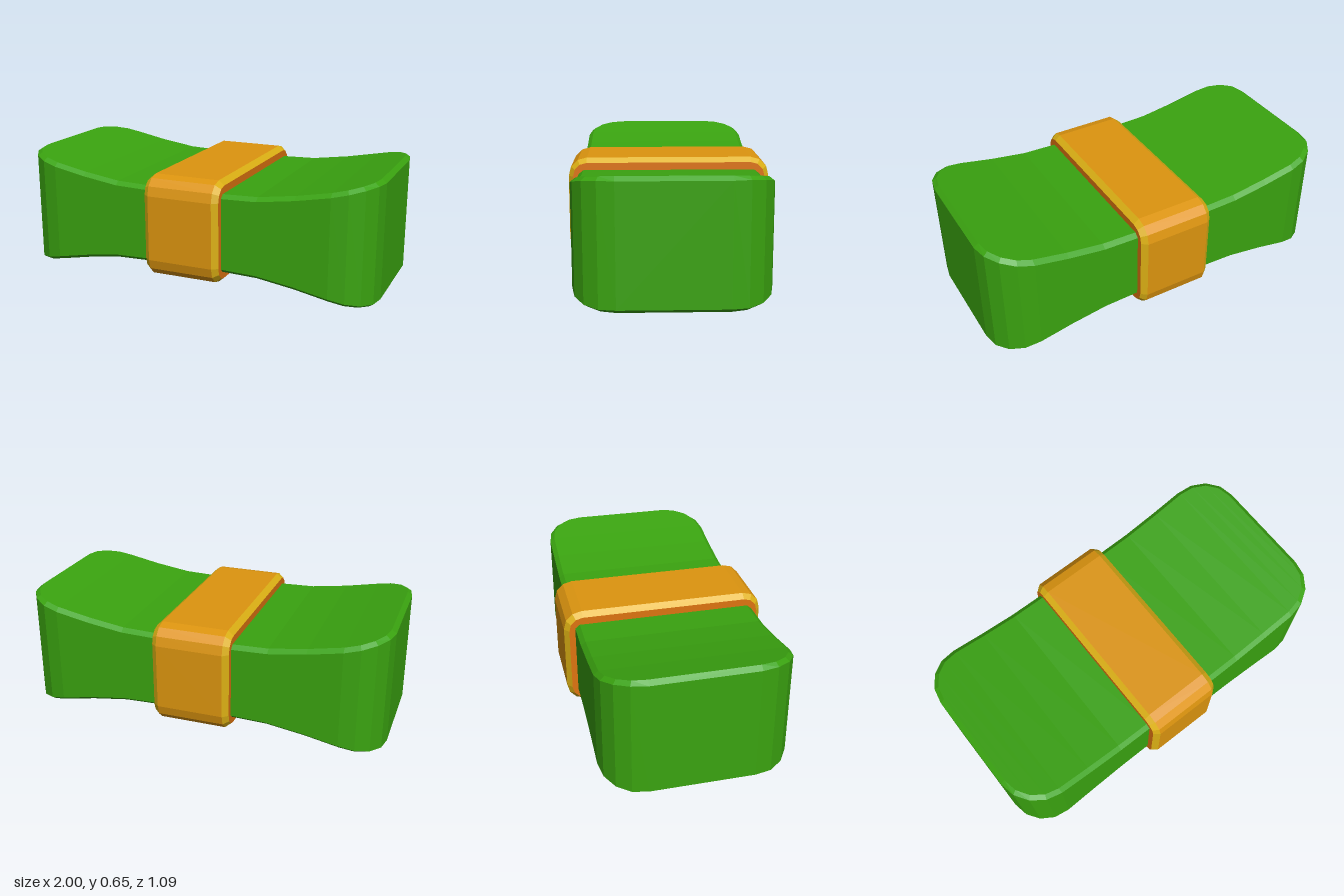
import * as THREE from 'three';

const MID = 0.325; // mid height of the whole bow

function flatMaterial(name, color) {
  const m = new THREE.MeshStandardMaterial({ color });
  m.name = name;
  return m;
}

// Collects quads (corners counter-clockwise from outside) into a flat-faced geometry
function quadsToGeometry(quads) {
  const pos = [];
  for (const [a, b, c, d] of quads) pos.push(...a, ...b, ...c, ...a, ...c, ...d);
  const g = new THREE.BufferGeometry();
  g.setAttribute('position', new THREE.Float32BufferAttribute(pos, 3));
  g.computeVertexNormals();
  return g;
}

// Quads joining two closed loops of equal length
function bridge(a, b) {
  return a.map((p, i) => {
    const j = (i + 1) % a.length;
    return [p, a[j], b[j], b[i]];
  });
}

// Half height of the bow: thin in the middle, flaring to the ends
const FLARE = [[0, 0.21], [0.2, 0.21], [0.4, 0.216], [0.6, 0.245], [0.78, 0.28], [0.975, 0.325]];
function halfHeight(x) {
  const ax = Math.min(Math.abs(x), 0.975);
  const i = Math.max(1, FLARE.findIndex(([fx]) => ax <= fx));
  const [x0, h0] = FLARE[i - 1], [x1, h1] = FLARE[i];
  return h0 + (h1 - h0) * (ax - x0) / (x1 - x0);
}

// Bow: octagonal sections along x, rounded in plan at the four corners
function bowGeometry() {
  const bevel = 0.025, drop = 0.02, r = 0.218, cx = 0.782, cz = 0.27;
  const half = [0, 0.2, 0.4, 0.6].map(x => ({ xo: x, xi: x, zo: cz + r, zi: cz + r - bevel }));
  for (let k = 4; k >= 0; k--) {
    const t = k * Math.PI / 8, c = Math.cos(t), s = Math.sin(t);
    half.push({ xo: cx + r * c, zo: cz + r * s, xi: cx + (r - bevel) * c, zi: cz + (r - bevel) * s });
  }
  const mirrored = half.slice(1).reverse().map(p => ({ ...p, xo: -p.xo, xi: -p.xi }));
  const sections = [...mirrored, ...half].map(({ xo, xi, zo, zi }) => {
    const hi = halfHeight(xi), ho = halfHeight(xo) - drop;
    return [
      [xo, MID - ho, zo], [xo, MID + ho, zo], [xi, MID + hi, zi], [xi, MID + hi, -zi],
      [xo, MID + ho, -zo], [xo, MID - ho, -zo], [xi, MID - hi, -zi], [xi, MID - hi, zi],
    ].reverse();
  });
  const quads = [];
  for (let i = 1; i < sections.length; i++) quads.push(...bridge(sections[i], sections[i - 1]).map(q => q.reverse()));
  // End faces with their top and bottom bevels
  const cap = s => [[s[7], s[2], s[3], s[6]], [s[6], s[3], s[4], s[5]], [s[0], s[1], s[2], s[7]]];
  quads.push(...cap(sections[sections.length - 1]));
  quads.push(...cap(sections[0]).map(q => q.reverse()));
  // Make every quad face away from the core of the bow
  return quadsToGeometry(quads.map(faceOutward));
}

// Turns a quad round if it points towards the centre line
function faceOutward(q) {
  const [a, b, c, d] = q.map(p => new THREE.Vector3(...p));
  const n = c.clone().sub(a).cross(d.clone().sub(b));
  const m = a.clone().add(b).add(c).add(d).multiplyScalar(0.25);
  m.y -= MID;
  // Ends are judged by x, all other faces by their direction from the x axis
  const isEnd = Math.abs(n.x) > 0.9 * n.length();
  const out = isEnd ? n.x * m.x : n.y * m.y + n.z * m.z;
  return out < 0 ? [...q].reverse() : q;
}

// Rounded rectangle around the bow at a given x
function bandLoop(x, inset) {
  const r = 0.1 - inset, pts = [];
  for (let corner = 0; corner < 4; corner++) {
    const sz = corner === 0 || corner === 3 ? 1 : -1, sy = corner < 2 ? 1 : -1;
    for (let k = 0; k <= 3; k++) {
      const t = corner * Math.PI / 2 + k * Math.PI / 6;
      pts.push([x, MID + sy * 0.175 + r * Math.sin(t), sz * 0.445 + r * Math.cos(t)]);
    }
  }
  return pts;
}

export function createModel() {
  const green = flatMaterial('bow green', 0x3aa310);
  const amber = flatMaterial('band amber', 0xdd950f);
  const yellow = flatMaterial('band edge yellow', 0xdcb014);
  const orange = flatMaterial('band side orange', 0xde7410);

  const model = new THREE.Group();
  model.name = 'bowTie';
  const add = (parent, name, geometry, material) => {
    const mesh = new THREE.Mesh(geometry, material);
    mesh.name = name;
    parent.add(mesh);
  };
  add(model, 'bow', bowGeometry(), green);

  // Band: outer wrap, chamfered rims and flat sides
  const band = new THREE.Group();
  band.name = 'band';
  model.add(band);
  const wrap = bridge(bandLoop(-0.18, 0), bandLoop(0.18, 0));
  add(band, 'bandWrap', quadsToGeometry(wrap.map(faceOutward)), amber);
  for (const side of [1, -1]) {
    const label = side > 0 ? 'left' : 'right';
    const rim = bandLoop(side * 0.21, 0.025);
    const chamfer = bridge(bandLoop(side * 0.18, 0), rim);
    add(band, label + 'BandRim', quadsToGeometry(chamfer.map(faceOutward)), yellow);
    const inner = rim.map(([x, y, z]) => [x, MID + (y - MID) * 0.6, z * 0.8]);
    add(band, label + 'BandSide', quadsToGeometry(bridge(rim, inner).map(faceOutward)), orange);
  }
  return model;
}
